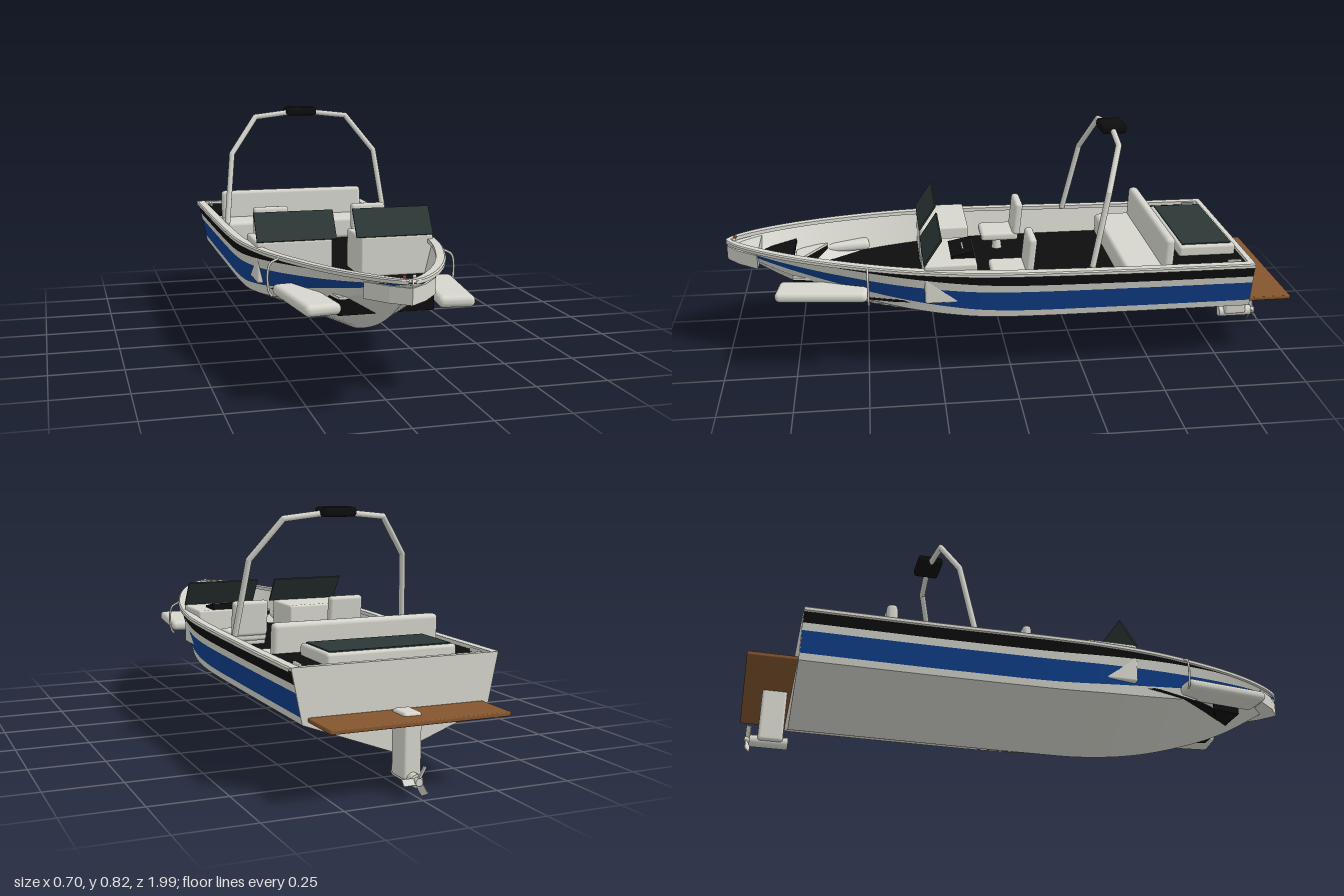
import * as THREE from 'three';
import { RoundedBoxGeometry } from 'three/addons/geometries/RoundedBoxGeometry.js';

const mat = (name, color) => {
  const m = new THREE.MeshStandardMaterial({ color });
  m.name = name;
  return m;
};

export function createModel() {
  const white = mat('white', 0xd6d6ce), black = mat('black', 0x0d0d0d), blue = mat('blue', 0x0f3f8c);
  const glass = mat('tinted glass', 0x2c3836), wood = mat('wood', 0x85562f), red = mat('red', 0x9c3a1c);
  const boat = new THREE.Group();
  boat.name = 'motorboat';

  const add = (name, geo, material, x = 0, y = 0, z = 0, parent = boat) => {
    const m = new THREE.Mesh(geo, material);
    m.name = name;
    m.position.set(x, y, z);
    parent.add(m);
    return m;
  };
  // Box given by its limits on each axis, rounded when r > 0
  const box = (name, material, x0, x1, y0, y1, z0, z1, r = 0, parent = boat) => {
    const s = [x1 - x0, y1 - y0, z1 - z0];
    const g = r ? new RoundedBoxGeometry(...s, 3, r) : new THREE.BoxGeometry(...s);
    return add(name, g, material, (x0 + x1) / 2, (y0 + y1) / 2, (z0 + z1) / 2, parent);
  };
  // Horizontal plate, symmetric about x = 0, from a half outline of [x, z]
  const plate = (name, material, half, top, depth) => {
    const mirror = half.filter(p => p[0] > 0).map(([x, z]) => [-x, z]).reverse();
    const shape = new THREE.Shape([...half, ...mirror].map(p => new THREE.Vector2(...p)));
    const g = new THREE.ExtrudeGeometry(shape, { depth, bevelEnabled: false });
    return add(name, g.rotateX(Math.PI / 2), material, 0, top, 0);
  };

  // Hull lines: z, sheer x, sheer y, chine x, chine y, keel y
  const stations = [
    [-0.84, 0.345, 0.380, 0.310, 0.215, 0.100],
    [-0.40, 0.345, 0.382, 0.310, 0.215, 0.100],
    [0.00, 0.343, 0.388, 0.310, 0.218, 0.101],
    [0.20, 0.330, 0.393, 0.297, 0.230, 0.106],
    [0.40, 0.295, 0.400, 0.255, 0.255, 0.134],
    [0.60, 0.235, 0.408, 0.190, 0.295, 0.192],
    [0.75, 0.175, 0.414, 0.130, 0.333, 0.255],
    [0.87, 0.110, 0.419, 0.075, 0.370, 0.325],
    [0.95, 0.050, 0.422, 0.030, 0.400, 0.378],
    [0.985, 0.004, 0.423, 0.002, 0.416, 0.412],
  ];
  const line = f => new THREE.CatmullRomCurve3(stations.map(f), false, 'catmullrom', 0.5);
  const sheer = line(s => new THREE.Vector3(s[1], s[2], s[0]));
  const chine = line(s => new THREE.Vector3(s[3], s[4], s[0]));
  const keel = line(s => new THREE.Vector3(0, s[5], s[0]));

  // Sweep a cross-section along the hull; every strip has its own material
  const STEPS = 54;
  const sweep = (name, section, materials) => {
    for (const side of [1, -1]) {
      const pos = [], index = [], geo = new THREE.BufferGeometry();
      const rows = Array.from({ length: STEPS + 1 }, (_, i) => section(i / STEPS));
      for (let k = 0; k < rows[0].length - 1; k++) {
        const base = pos.length / 3, start = index.length;
        rows.forEach(r => [r[k], r[k + 1]].forEach(p => pos.push(side * Math.max(p.x, 0), p.y, p.z)));
        for (let i = 0; i < STEPS; i++) {
          const a = base + 2 * i, up = a + 1, fwd = a + 2, both = a + 3;
          if (side > 0) index.push(a, up, fwd, up, both, fwd);
          else index.push(a, fwd, up, up, fwd, both);
        }
        geo.addGroup(start, index.length - start, k);
      }
      geo.setAttribute('position', new THREE.Float32BufferAttribute(pos, 3));
      geo.setIndex(index);
      geo.computeVertexNormals();
      add((side > 0 ? 'left ' : 'right ') + name, geo, materials);
    }
  };
  const shift = (p, dx, dy) => new THREE.Vector3(Math.max(p.x + dx, 0), p.y + dy, p.z);

  sweep('hull bottom', t => [keel.getPoint(t), chine.getPoint(t)], [white]);
  sweep('hull side stripes', t => {
    const c = chine.getPoint(t), s = sheer.getPoint(t);
    const bow = THREE.MathUtils.smoothstep(c.z, -0.1, 0.85);
    return [0, 0.14 + 0.2 * bow, 0.58 + 0.06 * bow, 0.73 + 0.2 * bow, 0.97, 1].map(f => c.clone().lerp(s, f));
  }, [white, blue, white, black, white]);
  sweep('inner liner', t => [shift(sheer.getPoint(t), -0.008, 0), shift(chine.getPoint(t), -0.008, 0.005),
    shift(keel.getPoint(t), 0, 0.006)], [white, white]);
  sweep('gunwale', t => {
    const s = sheer.getPoint(t);
    return [shift(s, -0.002, -0.009), shift(s, 0.007, -0.007), shift(s, 0.007, 0.003), shift(s, 0.002, 0.007),
      shift(s, -0.026, 0.007), shift(s, -0.026, -0.006), shift(s, -0.008, -0.006)];
  }, Array(6).fill(white));

  // Transom
  const transom = new THREE.Shape([[0, 0.1], [0.31, 0.215], [0.345, 0.386], [-0.345, 0.386], [-0.31, 0.215]]
    .map(p => new THREE.Vector2(...p)));
  add('transom', new THREE.ExtrudeGeometry(transom, { depth: 0.02, bevelEnabled: false }), white, 0, 0, -0.842);

  // Floor, bow and aft deck
  plate('floor', black, [[0.315, -0.82], [0.315, 0], [0.303, 0.2], [0.265, 0.4], [0.2, 0.58], [0.165, 0.64], [0, 0.75]], 0.282, 0.008);
  plate('bow cushion', black, [[0.14, 0.75], [0.075, 0.835], [0, 0.895]], 0.368, 0.014);
  plate('stem block', white, [[0.11, 0.87], [0.055, 0.94], [0, 0.985]], 0.405, 0.05);
  plate('aft deck', black, [[0.325, -0.822], [0.325, -0.56]], 0.375, 0.01);
  for (const s of [1, -1]) {
    const wedge = new THREE.Shape([[0.17, 0.64], [0.15, 0.75], [0, 0.75]].map(([x, z]) => new THREE.Vector2(s * x, z)));
    const prism = depth => new THREE.ExtrudeGeometry(wedge, { depth, bevelEnabled: false }).rotateX(Math.PI / 2);
    add('bow step', prism(0.05), black, 0, 0.325, 0);
    add('bow step top', prism(0.008), white, 0, 0.333, 0);
    box('cleat', white, s * 0.3 - 0.005, s * 0.3 + 0.005, 0.375, 0.388, -0.805, -0.755, 0.003);
    add('bow light', new THREE.SphereGeometry(0.006, 12, 8), s > 0 ? white : red, s * 0.015, 0.432, 0.955);
  }

  // Sun pad and rear bench
  box('sun pad base', white, -0.218, 0.218, 0.37, 0.412, -0.808, -0.605, 0.01);
  box('sun pad top', glass, -0.203, 0.203, 0.408, 0.416, -0.795, -0.618);
  box('rear bench seat', white, -0.29, 0.29, 0.282, 0.365, -0.55, -0.4, 0.015);
  box('rear bench back', white, -0.29, 0.29, 0.3, 0.47, -0.567, -0.53, 0.015).rotation.x = -0.05;

  for (const s of [1, -1]) {
    // Swivel seat
    const seat = new THREE.Group();
    seat.name = 'swivel seat';
    seat.position.x = s * 0.185;
    boat.add(seat);
    box('seat cushion', white, -0.065, 0.065, 0.33, 0.362, -0.075, 0.065, 0.012, seat);
    box('seat back', white, -0.065, 0.065, 0.35, 0.476, -0.088, -0.058, 0.012, seat).rotation.x = -0.1;
    add('seat post', new THREE.CylinderGeometry(0.013, 0.02, 0.06, 16), white, 0, 0.305, 0, seat);

    // Console and windshield
    const inner = s * 0.05, outer = s * 0.31;
    box('console', white, Math.min(inner, outer), Math.max(inner, outer), 0.28, 0.42, 0.12, 0.3, 0.008);
    const pane = add('windshield', new THREE.BoxGeometry(0.274, 0.108, 0.006), glass, s * 0.172, 0.464, 0.27);
    pane.rotation.x = -0.585;

    // Fender with its hanger
    const fender = add('fender', new RoundedBoxGeometry(0.115, 0.037, 0.315, 4, 0.017), white, s * 0.226, 0.307, 0.645);
    fender.rotation.y = -s * 0.12;
    const rope = new THREE.CatmullRomCurve3([[0.275, 0.405], [0.306, 0.385], [0.309, 0.3], [0.298, 0.282]]
      .map(([x, y]) => new THREE.Vector3(s * x, y, 0.49)));
    add('fender hanger', new THREE.TubeGeometry(rope, 16, 0.004, 8), white);
  }

  // Dashboard
  box('dashboard', black, 0.105, 0.255, 0.412, 0.435, 0.125, 0.205).rotation.x = 0.2;
  box('dashboard trim', white, 0.15, 0.21, 0.432, 0.439, 0.158, 0.164).rotation.x = 0.2;

  // Tow tower: straight tubes with ball joints
  const half = [[0.312, 0.39, -0.275], [0.282, 0.645, -0.33], [0.18, 0.78, -0.38], [0, 0.8, -0.392]];
  const pts = [...half, ...half.slice(0, 3).reverse().map(([x, y, z]) => [-x, y, z])].map(p => new THREE.Vector3(...p));
  pts.slice(1).forEach((b, i) => {
    const tube = new THREE.TubeGeometry(new THREE.LineCurve3(pts[i], b), 1, 0.0105, 14);
    add('tower tube', tube, white);
    add('tower joint', new THREE.SphereGeometry(0.0105, 14, 10), white, b.x, b.y, b.z);
  });
  box('tower pod', black, -0.058, 0.058, 0.784, 0.816, -0.437, -0.347, 0.012);

  // Swim platform and stern drive
  box('swim platform', wood, -0.293, 0.293, 0.222, 0.236, -1, -0.84, 0.004);
  box('drive housing', white, -0.03, 0.03, 0.045, 0.246, -0.937, -0.855, 0.01);
  add('drive torpedo', new THREE.CylinderGeometry(0.02, 0.02, 0.125, 24).rotateX(Math.PI / 2), white, 0, 0.048, -0.9);
  add('propeller hub', new THREE.CylinderGeometry(0.012, 0.012, 0.02, 16).rotateX(Math.PI / 2), white, 0, 0.048, -0.968);
  for (let i = 0; i < 3; i++) {
    const blade = new THREE.Group();
    blade.name = 'propeller blade';
    blade.position.set(0, 0.048, -0.967);
    blade.rotation.z = i * Math.PI * 2 / 3;
    boat.add(blade);
    add('blade', new THREE.BoxGeometry(0.042, 0.022, 0.004), white, 0.028, 0, 0, blade).rotation.x = 0.7;
  }
  return boat;
}
